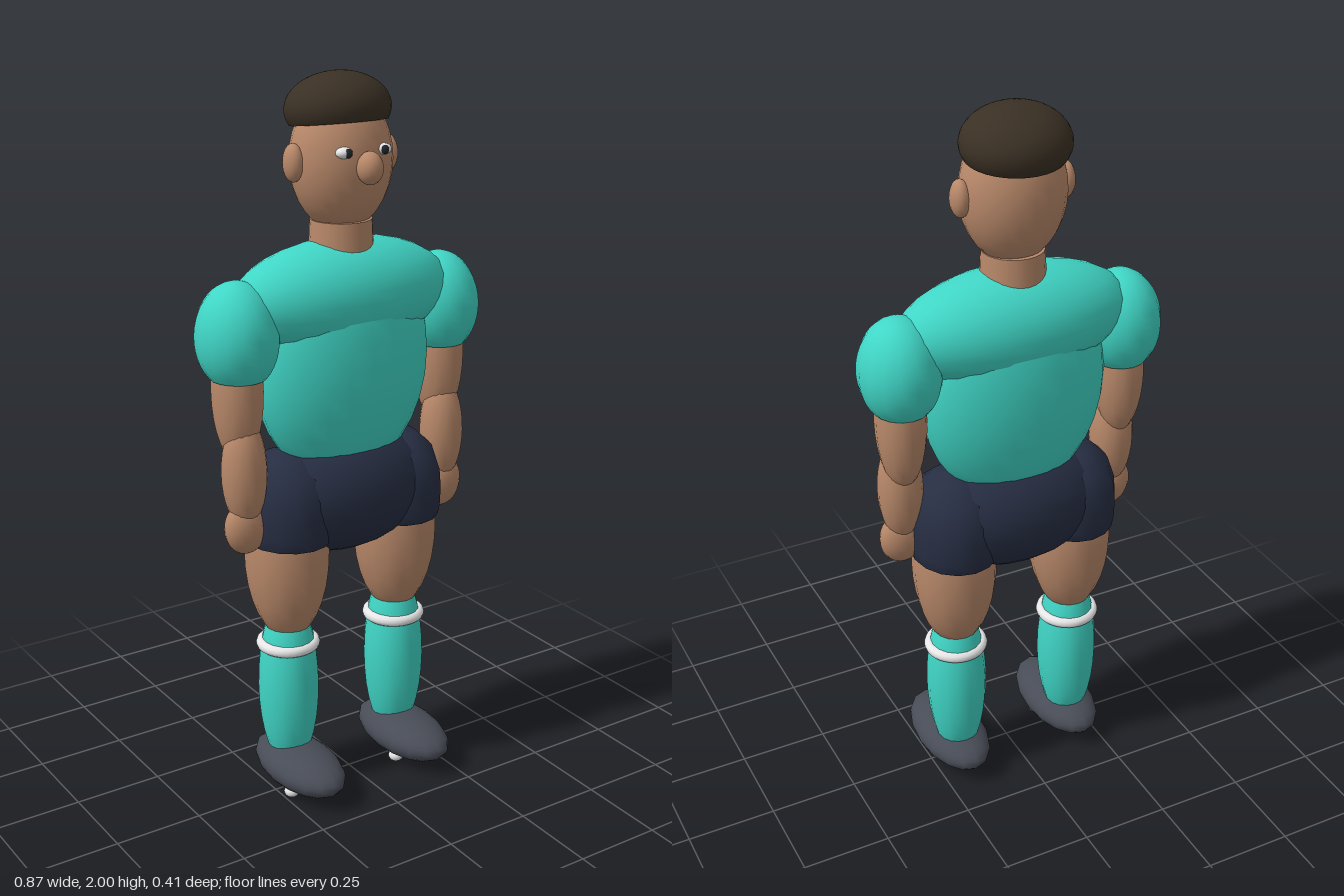
import * as THREE from 'three';

const mat = (name, color) => {
  const m = new THREE.MeshStandardMaterial({ color });
  m.name = name;
  return m;
};

export function createModel() {
  const teal = mat('jersey teal', 0x40d6c6);
  const skin = mat('skin', 0xb9896a);
  const navy = mat('shorts navy', 0x272e43);
  const brown = mat('hair brown', 0x3a3024);
  const grey = mat('boot grey', 0x484c56);
  const white = mat('white', 0xeeeeee);
  const black = mat('pupil black', 0x22262a);

  const root = new THREE.Group();
  root.name = 'footballer';
  const Z = -0.037; // body axis depth

  const add = (parent, name, geometry, material, pos) => {
    const mesh = new THREE.Mesh(geometry, material);
    mesh.name = name;
    mesh.position.set(...pos);
    parent.add(mesh);
    return mesh;
  };

  // Ellipsoid with the given half sizes
  const ball = (parent, name, material, pos, size, segs = 16) =>
    add(parent, name, new THREE.SphereGeometry(1, segs, 16).scale(...size), material, pos);

  // Ellipsoid cut off below and closed with a flat disc; cut is a share of the half height
  const cutBall = (parent, name, material, pos, size, cut, segs = 16) => {
    const theta = Math.acos(cut);
    const group = new THREE.Group();
    group.name = name;
    group.position.set(...pos);
    parent.add(group);
    add(group, name + 'Dome', new THREE.SphereGeometry(1, segs, 16, 0, Math.PI * 2, 0, theta).scale(...size), material, [0, 0, 0]);
    const disc = new THREE.CircleGeometry(Math.sin(theta), segs).rotateX(Math.PI / 2).scale(size[0], 1, size[2]);
    add(group, name + 'Underside', disc, material, [0, cut * size[1], 0]);
    return group;
  };

  // Trunk
  ball(root, 'torso', teal, [0, 1.24, Z], [0.265, 0.345, 0.157], 24);
  ball(root, 'shoulderYoke', teal, [0, 1.417, Z], [0.335, 0.153, 0.153], 24);
  ball(root, 'shortsSeat', navy, [0, 0.868, Z], [0.28, 0.178, 0.168]);

  // Neck and head
  add(root, 'neck', new THREE.CylinderGeometry(0.083, 0.09, 0.15, 24), skin, [0, 1.545, Z]);
  ball(root, 'head', skin, [0, 1.775, Z], [0.142, 0.188, 0.124], 24);
  ball(root, 'nose', skin, [0, 1.77, 0.098], [0.035, 0.043, 0.036]);
  const hair = cutBall(root, 'hair', brown, [0, 1.905, -0.052], [0.145, 0.095, 0.129], -0.39, 32);
  hair.rotation.x = -0.13;

  // Shorts leg outline, as share of radius and height
  const legProfile = [[0.9, 0.755], [0.95, 0.757], [0.99, 0.79], [1, 0.84], [0.97, 0.89], [0.82, 0.95], [0.45, 0.995], [0, 1.01]]
    .map(([r, y]) => new THREE.Vector2(r, y));

  for (const s of [1, -1]) {
    const side = new THREE.Group();
    side.name = s > 0 ? 'leftSide' : 'rightSide';
    root.add(side);

    // Face
    ball(side, 'ear', skin, [s * 0.146, 1.778, Z], [0.026, 0.05, 0.034]);
    ball(side, 'eyeWhite', white, [s * 0.06, 1.81, 0.069], [0.023, 0.015, 0.02]);
    ball(side, 'pupil', black, [s * 0.056, 1.81, 0.084], [0.011, 0.012, 0.008]);

    // Arm
    cutBall(side, 'sleeve', teal, [s * 0.322, 1.345, Z], [0.111, 0.148, 0.118], -0.74);
    ball(side, 'upperArm', skin, [s * 0.325, 1.2, Z], [0.068, 0.2, 0.077]);
    ball(side, 'forearm', skin, [s * 0.323, 0.98, -0.013], [0.062, 0.155, 0.062]);
    ball(side, 'hand', skin, [s * 0.322, 0.825, -0.01], [0.064, 0.076, 0.042]);

    // Leg
    const x = s * 0.18;
    const leg = new THREE.LatheGeometry(legProfile, 16).scale(0.125, 1, 0.144);
    add(side, 'shortsLeg', leg, navy, [x, 0, Z]).material.side = THREE.DoubleSide;
    ball(side, 'thigh', skin, [x, 0.72, Z], [0.118, 0.27, 0.122]);
    ball(side, 'sock', teal, [x, 0.31, Z], [0.085, 0.27, 0.09]);
    const band = new THREE.TorusGeometry(0.074, 0.016, 10, 32).rotateX(Math.PI / 2);
    add(side, 'sockBand', band, white, [x, 0.437, Z]);

    // Boot with two studs
    ball(side, 'boot', grey, [x, 0.074, 0.019], [0.098, 0.062, 0.186]);
    for (const d of [-0.05, 0.05]) {
      ball(side, 'stud', white, [x + d, 0.018, 0.055], [0.022, 0.018, 0.022], 12);
    }
  }
  return root;
}
